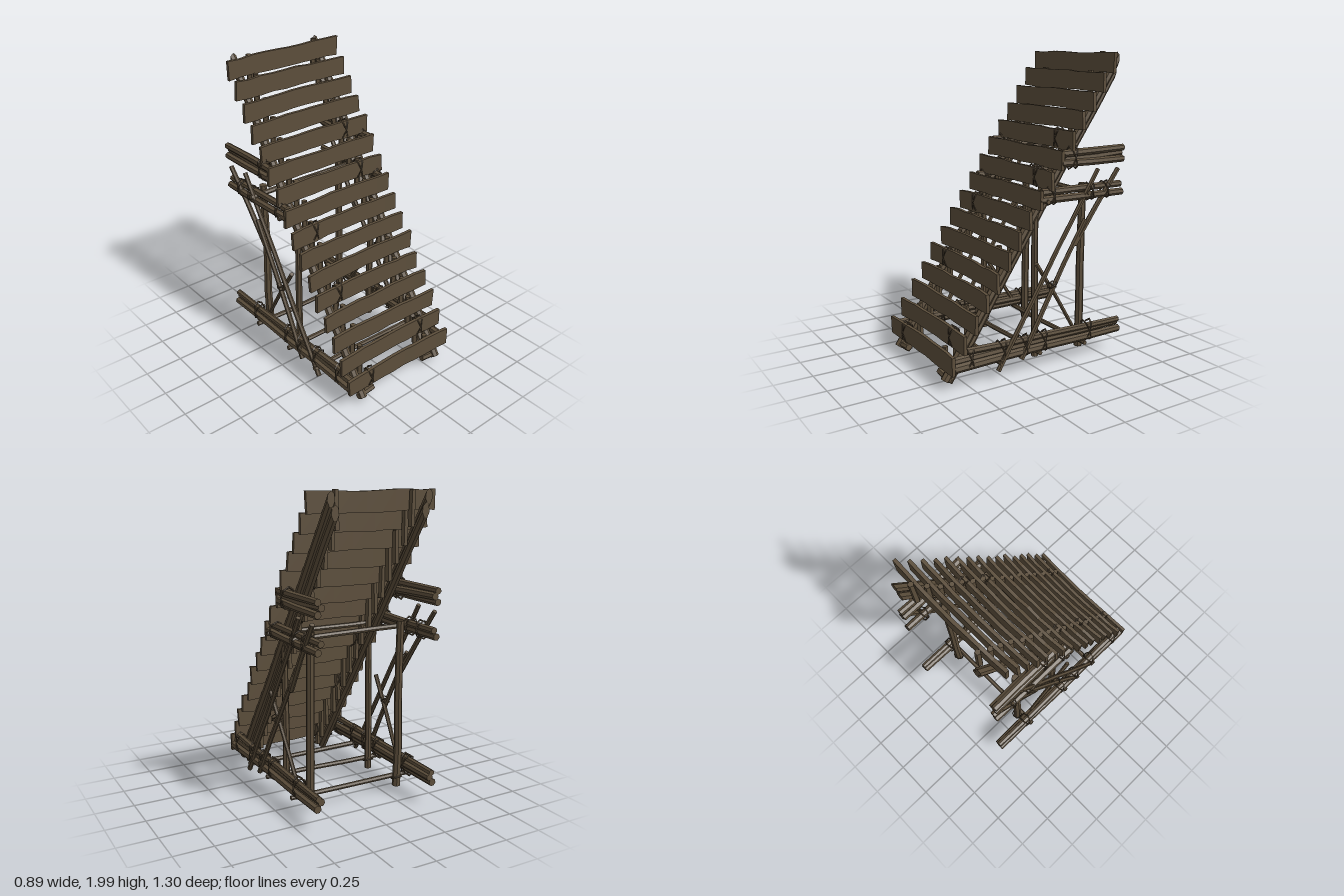
import * as THREE from 'three';

export function createModel() {
  const model = new THREE.Group();
  model.name = 'plankRamp';
  const wood = new THREE.MeshStandardMaterial({ color: 0x5c4e3b, flatShading: true });
  wood.name = 'weathered wood';
  const rope = new THREE.MeshStandardMaterial({ color: 0x4f4333, flatShading: true });
  rope.name = 'lashing rope';

  let seed = 7;
  const rand = (a) => {
    seed = (seed * 16807) % 2147483647;
    return (seed / 2147483647 * 2 - 1) * a;
  };
  const V = (x, y, z) => new THREE.Vector3(x, y, z);
  const BACK = -0.65;

  const add = (name, geo, mat = wood) => {
    const mesh = new THREE.Mesh(geo, mat);
    mesh.name = name;
    model.add(mesh);
    return mesh;
  };

  // Slightly crooked log from a to b; cutBack saws its far end flush with the rear plane
  function log(name, a, b, r, { sides = 7, bend = 0.004, cutBack = false } = {}) {
    const dir = b.clone().sub(a);
    const len = dir.length();
    dir.normalize();
    const rows = Math.max(1, Math.round(len / 0.3));
    const geo = new THREE.CylinderGeometry(r * 0.92, r * 1.04, len, sides, rows);
    const offs = Array.from({ length: rows + 1 }, () => [rand(bend), rand(bend)]);
    const q = new THREE.Quaternion().setFromUnitVectors(V(0, 1, 0), dir);
    const mid = a.clone().add(b).multiplyScalar(0.5);
    const p = geo.attributes.position;
    const v = V(0, 0, 0);
    for (let i = 0; i < p.count; i++) {
      v.fromBufferAttribute(p, i);
      const row = Math.round((v.y / len + 0.5) * rows);
      v.x += offs[row][0];
      v.z += offs[row][1];
      v.applyQuaternion(q).add(mid);
      if (cutBack && row === rows) v.addScaledVector(dir, (BACK - v.z) / dir.z);
      p.setXYZ(i, v.x, v.y, v.z);
    }
    geo.computeVertexNormals();
    add(name, geo);
  }

  // Flattened rope loop; rx, ry are its radii before it is turned
  function loop(name, pos, rx, ry, rot) {
    const geo = new THREE.TorusGeometry(1, 0.1, 4, 8);
    geo.scale(rx, ry, 0.05);
    const mesh = add(name, geo, rope);
    mesh.position.copy(pos);
    mesh.rotation.set(...rot, 'ZYX');
  }

  // Two crossed loops around a joint on a lengthwise beam
  function lashing(x, y, z, ry) {
    for (const t of [-0.35, 0.35]) loop('beamLashing', V(x, y, z), 0.043, ry, [t, 0, 0]);
  }

  // Rough-sawn plank with uneven edges and a slight backward bow
  function plank(y, z) {
    const cols = 9;
    const geo = new THREE.BoxGeometry(0.865, 0.122, 0.022, cols, 1, 1);
    const wave = Array.from({ length: cols + 1 }, () => [rand(0.005), rand(0.005), rand(0.002)]);
    const slope = rand(0.005);
    const p = geo.attributes.position;
    for (let i = 0; i < p.count; i++) {
      const u = p.getX(i) / 0.4325;
      const w = wave[Math.round((u + 1) / 2 * cols)];
      const top = p.getY(i) > 0;
      const endTrim = Math.abs(u) > 0.99 ? w[0] * (top ? 1 : -1) : 0;
      p.setXYZ(i,
        p.getX(i) + endTrim,
        p.getY(i) + (top ? w[0] : w[1]) + u * slope,
        p.getZ(i) - 0.012 * (1 - u * u) + w[2]);
    }
    geo.computeVertexNormals();
    add('plank', geo).position.set(rand(0.006), y, z);
  }

  const COUNT = 16, STEP_Y = 0.117, STEP_Z = -0.0778;
  const plankY = (i) => 0.163 + i * STEP_Y;
  const plankZ = (i) => 0.618 + i * STEP_Z;

  // Planks, with an upright peg behind each at both rails
  for (let i = 0; i < COUNT; i++) {
    plank(plankY(i), plankZ(i));
    for (const s of [-1, 1]) {
      const x = s * (0.25 + rand(0.008)), z = plankZ(i) - 0.034;
      const low = Math.max(0.04, plankY(i) - 0.155);
      log('plankPeg', V(x, low, z), V(x + rand(0.008), plankY(i) + 0.06 + rand(0.012), z), 0.02,
        { sides: 5, bend: 0.002 });
    }
  }

  // Crossed ropes tying some planks to their pegs
  for (const [i, s] of [[11, 1], [9, 1], [7, -1], [4, -1], [1, 1], [0, -1]]) {
    for (const t of [-0.35, 0.35]) {
      loop('plankLashing', V(s * 0.25, plankY(i), plankZ(i) - 0.022), 0.039, 0.07, [0, Math.PI / 2, t]);
    }
  }

  for (const s of [-1, 1]) {
    // Sloping rails: an upper and a lower log on each side
    for (const [x, off] of [[0.325, 0.022], [0.302, -0.022]]) {
      const dz = 0.83 * off, dy = 0.557 * off;
      log('slopingRail', V(s * x, 0.03 + dy, 0.608 + dz), V(s * x, 1.905 + dy, BACK + dz), 0.028,
        { bend: 0.003, cutBack: true });
    }

    // Lengthwise beams: base, middle and upper bundles
    for (const [x, y0, y1, z0, r] of [
      [0.41, 0.145, 0.155, 0.61, 0.027],
      [0.388, 0.185, 0.19, 0.60, 0.025],
      [0.405, 0.235, 0.217, 0.52, 0.022],
      [0.41, 1.10, 1.095, 0.0, 0.025],
      [0.388, 1.145, 1.14, -0.03, 0.024],
      [0.41, 1.315, 1.31, -0.16, 0.025],
      [0.388, 1.335, 1.345, -0.19, 0.025],
      [0.41, 1.375, 1.38, -0.17, 0.024],
    ]) {
      log('lengthwiseBeam', V(s * x, y0, z0), V(s * x, y1, BACK), r, { bend: 0.003, cutBack: true });
    }

    // Upright posts
    log('frontPost', V(s * 0.315, 0.055, -0.035), V(s * 0.315, 1.1, -0.035), 0.023);
    log('rearPost', V(s * 0.32, 0.055, -0.385), V(s * 0.32, 1.16, -0.395), 0.027);

    // Diagonal side braces
    log('longBrace', V(s * 0.425, 0.07, 0.31), V(s * 0.42, 1.26, -0.44), 0.016, { sides: 6 });
    log('lowerBrace', V(s * 0.425, 0.11, 0.14), V(s * 0.40, 0.94, -0.36), 0.016, { sides: 6 });
    log('upperBrace', V(s * 0.40, 0.78, -0.28), V(s * 0.42, 1.25, -0.605), 0.017, { sides: 6 });
    log('crossBrace', V(s * 0.40, 0.70, 0.01), V(s * 0.38, 0.2, -0.31), 0.014, { sides: 6 });

    // Rope around the crossing braces
    for (const t of [-0.6, 0.6]) {
      loop('braceLashing', V(s * 0.41, 0.55, -0.1), 0.03, 0.034, [Math.PI / 2 + t, 0, 0]);
    }

    // Rope around the beams
    for (const z of [0.5, 0.27, 0.11, -0.035, -0.39]) lashing(s * 0.4, 0.187, z, 0.075);
    for (const z of [-0.09, -0.39, -0.51]) lashing(s * 0.4, 1.12, z, 0.06);
    lashing(s * 0.4, 1.345, -0.25, 0.075);

    // Collars where the rails meet the base and where posts meet the cross poles
    loop('railCollar', V(s * 0.313, 0.1, 0.562), 0.05, 0.056, [-0.98, 0, 0]);
    for (const z of [-0.035, -0.385]) {
      loop('postCollar', V(s * 0.317, 0.11, z), 0.035, 0.038, [Math.PI / 2 + 0.4, 0, 0]);
    }

    // Short stub log under the front edge
    log('frontFoot', V(s * 0.22, 0.065, 0.605), V(s * 0.35, 0.055, 0.61), 0.022, { sides: 6, bend: 0.002 });
  }

  // Cross poles between the two sides
  for (const [y, z, r] of [
    [0.118, 0.28, 0.016], [0.118, 0.0, 0.016], [0.118, -0.355, 0.016],
    [1.09, -0.055, 0.016], [1.12, -0.36, 0.017],
  ]) {
    log('crossPole', V(-0.445, y, z), V(0.44, y + rand(0.006), z + rand(0.006)), r, { sides: 6 });
  }

  return model;
}
